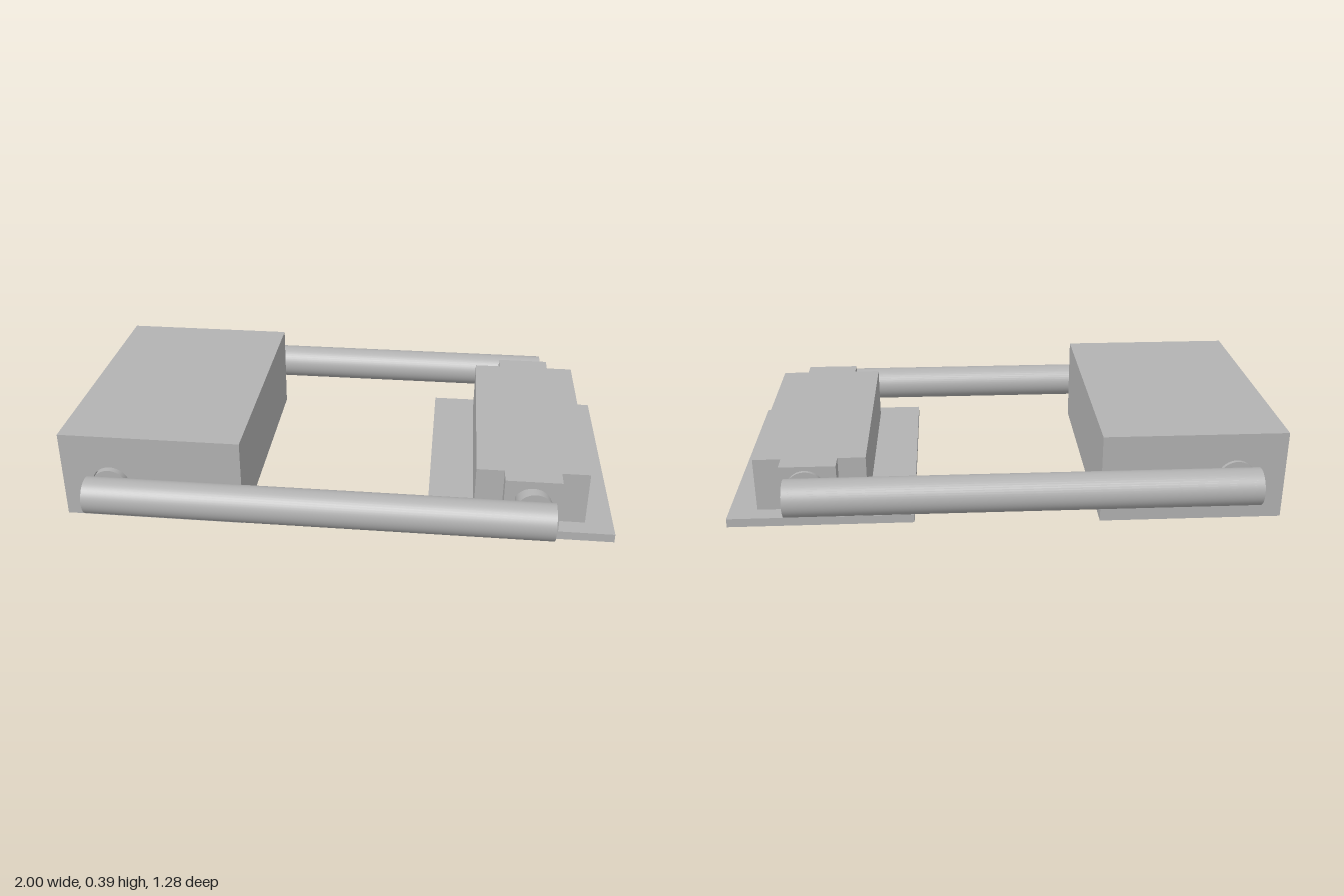
import * as THREE from 'three';

export function createModel() {
  const model = new THREE.Group();
  model.name = 'linkageAssembly';
  const grey = new THREE.MeshStandardMaterial({ color: 0xb2b2b2 });
  grey.name = 'plain grey';

  const add = (parent, name, geometry, x = 0, y = 0, z = 0) => {
    const mesh = new THREE.Mesh(geometry, grey);
    mesh.name = name;
    mesh.position.set(x, y, z);
    parent.add(mesh);
    return mesh;
  };

  // Rectangular block from x0,y0 to x1,y1 with a round bore along z
  const boredBlock = (x0, y0, x1, y1, z0, z1, cx, cy, r) => {
    const shape = new THREE.Shape();
    shape.moveTo(x0, y0).lineTo(x1, y0).lineTo(x1, y1).lineTo(x0, y1).closePath();
    const bore = new THREE.Path();
    bore.absarc(cx, cy, r, 0, Math.PI * 2, true);
    shape.holes.push(bore);
    const geometry = new THREE.ExtrudeGeometry(shape, { depth: z1 - z0, bevelEnabled: false, curveSegments: 32 });
    return geometry.translate(0, 0, z0);
  };

  // Large block standing on a round foot
  const base = new THREE.Group();
  base.name = 'base';
  model.add(base);
  add(base, 'baseBlock', boredBlock(-1, 0.055, -0.337, 0.387, -0.5, 0.497, -0.82, 0.192, 0.07));
  add(base, 'roundFoot', new THREE.CylinderGeometry(0.266, 0.266, 0.056, 64), -0.67, 0.028, 0.031);

  // Flat plate carrying the smaller block with a bored lug at each end
  const carriage = new THREE.Group();
  carriage.name = 'carriage';
  model.add(carriage);
  add(carriage, 'carriagePlate', new THREE.BoxGeometry(0.667, 0.032, 0.997), 0.6665, 0.085, -0.0015);
  add(carriage, 'carriageBlock', new THREE.BoxGeometry(0.4, 0.2, 0.864), 0.7, 0.2, -0.002);
  add(carriage, 'frontLug', boredBlock(0.6, 0.1, 0.8, 0.3, 0.43, 0.497, 0.7, 0.203, 0.07));
  add(carriage, 'backLug', boredBlock(0.6, 0.1, 0.8, 0.3, -0.5, -0.434, 0.7, 0.203, 0.07));

  // Connecting rods with a pivot pin into each block
  for (const [side, sign, y] of [['front', 1, 0.19], ['back', -1, 0.218]]) {
    const arm = new THREE.Group();
    arm.name = side + 'Arm';
    model.add(arm);
    const rod = add(arm, side + 'Rod', new THREE.CylinderGeometry(0.0667, 0.0667, 1.665, 48), -0.0555, y, sign * 0.573);
    rod.rotation.z = Math.PI / 2;
    for (const [end, x] of [['Base', -0.821], ['Carriage', 0.71]]) {
      const pin = add(arm, side + end + 'Pin', new THREE.CylinderGeometry(0.0667, 0.0667, 0.08, 48), x, y, sign * 0.473);
      pin.rotation.x = Math.PI / 2;
    }
  }
  return model;
}
